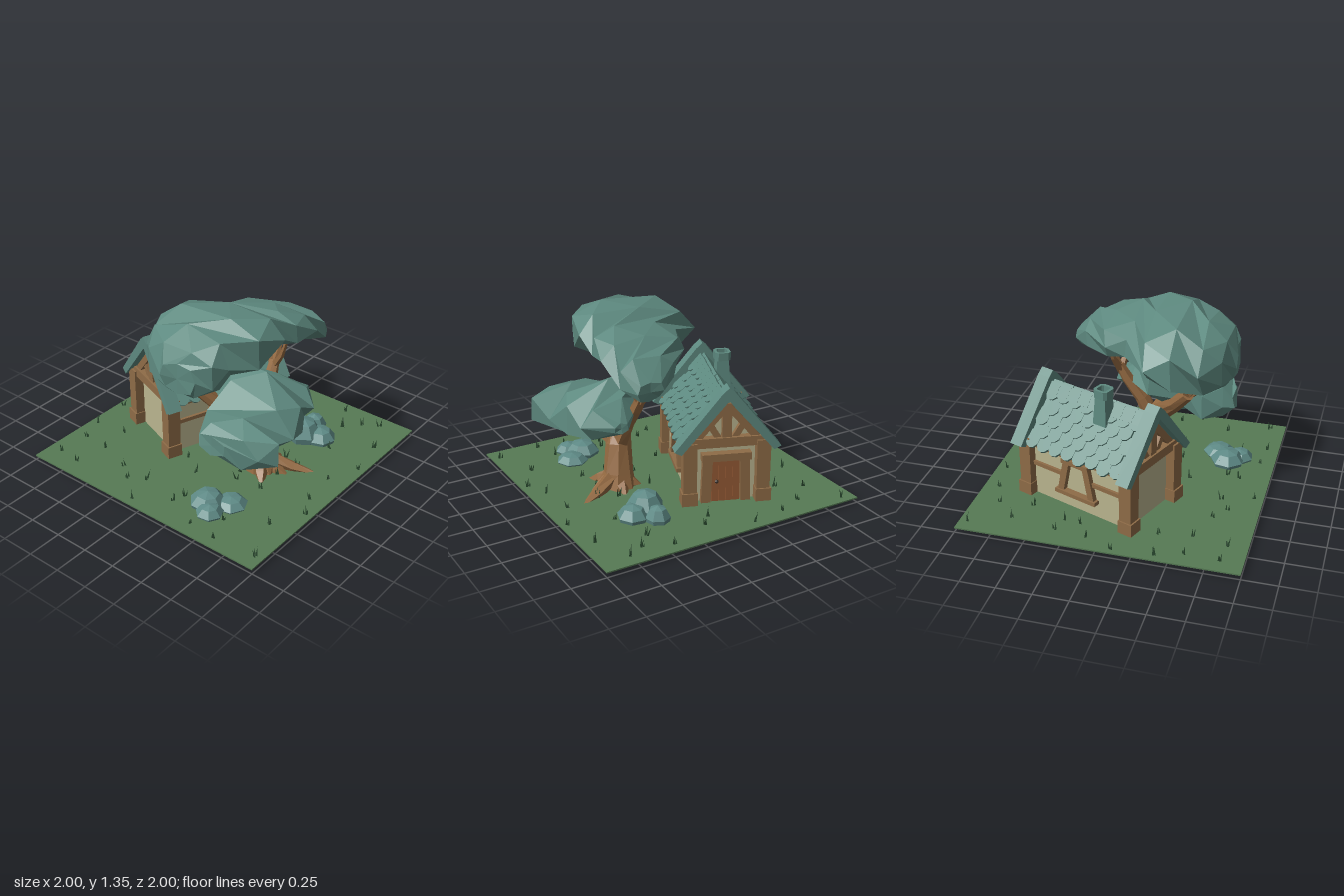
import * as THREE from 'three';
import { mergeGeometries } from 'three/addons/utils/BufferGeometryUtils.js';

const V = (x, y, z) => new THREE.Vector3(x, y, z);
const pairs = (list) => list.map((p) => new THREE.Vector2(...p));

export function createModel() {
  const model = new THREE.Group();
  model.name = 'cottageAndTree';
  const mat = (name, color) => {
    const m = new THREE.MeshStandardMaterial({ color, flatShading: true });
    m.name = name;
    return m;
  };
  const M = {
    grass: mat('meadowGreen', 0x567a54), blade: mat('darkGrass', 0x27452c),
    leaf: mat('foliageTeal', 0x5e8a80), roof: mat('roofTeal', 0x5e8a80),
    rock: mat('rockTeal', 0x5e8a86), wall: mat('plaster', 0xbab58f),
    wood: mat('timber', 0x8f6c47), bark: mat('bark', 0x946a42),
    door: mat('doorWood', 0x955a35), iron: mat('iron', 0x3c322c),
  };
  let seed = 11;
  const rnd = (a = 0, b = 1) => {
    seed = (seed * 16807) % 2147483647;
    return a + (b - a) * seed / 2147483647;
  };
  const add = (parent, name, geo, material, x = 0, y = 0, z = 0) => {
    const m = new THREE.Mesh(geo, material);
    m.name = name;
    m.position.set(x, y, z);
    parent.add(m);
    return m;
  };
  const box = (p, name, material, w, h, d, x, y, z) =>
    add(p, name, new THREE.BoxGeometry(w, h, d), material, x, y, z);
  // Square bar running from a to b
  const beam = (p, name, a, b, sx, sz) => {
    const dir = b.clone().sub(a), mid = a.clone().add(b).multiplyScalar(0.5);
    const m = box(p, name, M.wood, sx, dir.length(), sz, mid.x, mid.y, mid.z);
    m.quaternion.setFromUnitVectors(V(0, 1, 0), dir.normalize());
    return m;
  };
  // Closed skin over a row of rings
  const loft = (rings) => {
    const pos = [], n = rings[0].length;
    const tri = (...ps) => ps.forEach((p) => pos.push(p.x, p.y, p.z));
    const centre = (r) => r.reduce((s, p) => s.add(p), V(0, 0, 0)).divideScalar(n);
    const c0 = centre(rings[0]), last = rings[rings.length - 1], c1 = centre(last);
    for (let j = 0; j < n; j++) {
      const k = (j + 1) % n;
      for (let i = 0; i < rings.length - 1; i++) {
        const a = rings[i][j], b = rings[i][k], c = rings[i + 1][k], d = rings[i + 1][j];
        tri(a, b, c, a, c, d);
      }
      tri(c0, rings[0][k], rings[0][j]);
      tri(c1, last[j], last[k]);
    }
    const g = new THREE.BufferGeometry();
    g.setAttribute('position', new THREE.Float32BufferAttribute(pos, 3));
    g.computeVertexNormals();
    return g;
  };

  // Ground sheet
  box(model, 'ground', M.grass, 2, 0.01, 2, 0, 0.03, 0);

  // ---- House: ridge along local x, door on the +x gable ----
  const house = new THREE.Group();
  house.name = 'house';
  house.position.set(0.148, 0, -0.322);
  house.rotation.y = -0.36;
  model.add(house);
  // Extrude a (z, y) outline along x, centred
  const alongX = (pts, len) => {
    const g = new THREE.ExtrudeGeometry(new THREE.Shape(pairs(pts)), { depth: len, bevelEnabled: false });
    return g.translate(0, 0, -len / 2).rotateY(Math.PI / 2);
  };
  add(house, 'walls', alongX([[-0.25, 0.02], [0.25, 0.02], [0.25, 0.5], [0, 0.79], [-0.25, 0.5]], 0.84), M.wall);

  for (const sx of [-1, 1]) {
    for (const sz of [-1, 1]) {
      // Corner posts with wider feet
      const post = new THREE.CylinderGeometry(0.07, 0.066, 0.48, 4).rotateY(Math.PI / 4);
      add(house, 'cornerPost', post, M.wood, sx * 0.44, 0.26, sz * 0.26);
      box(house, 'postFoot', M.wood, 0.112, 0.11, 0.112, sx * 0.443, 0.075, sz * 0.262);
      // Gable framing
      beam(house, 'rafter', V(sx * 0.43, 0.44, sz * 0.28), V(sx * 0.43, 0.765, 0), 0.06, 0.05);
      beam(house, 'gableBrace', V(sx * 0.43, 0.5, sz * 0.045), V(sx * 0.43, 0.64, sz * 0.13), 0.045, 0.045);
      // Mid rails on the long walls, either side of the window
      beam(house, 'midRail', V(sx * 0.1, 0.29, sz * 0.255), V(sx * 0.42, 0.29, sz * 0.255), 0.03, 0.03);
      // Leaning window boards
      beam(house, 'windowBoard', V(sx * 0.135, 0.16, sz * 0.265), V(sx * 0.08, 0.42, sz * 0.265), 0.05, 0.045);
    }
    beam(house, 'gableTie', V(sx * 0.44, 0.495, -0.26), V(sx * 0.44, 0.495, 0.26), 0.07, 0.07);
    beam(house, 'kingPost', V(sx * 0.435, 0.5, 0), V(sx * 0.435, 0.78, 0), 0.055, 0.065);
    // Overhanging gable trim
    add(house, 'gableTrim', alongX([[-0.375, 0.46], [-0.325, 0.435], [0, 0.815], [0.325, 0.435],
      [0.375, 0.46], [0.045, 0.87], [0, 0.91], [-0.045, 0.87]], 0.1), M.roof, sx * 0.46);
  }
  for (const s of [-1, 1]) {
    box(house, 'wallPlate', M.wood, 0.86, 0.045, 0.05, 0, 0.455, s * 0.255);
    box(house, 'windowSill', M.wood, 0.35, 0.03, 0.06, 0, 0.16, s * 0.27);
    box(house, 'windowLintel', M.wood, 0.23, 0.035, 0.06, 0, 0.42, s * 0.27);
  }

  // Door with planks, frame and knob
  for (let i = 0; i < 4; i++)
    box(house, 'doorPlank', M.door, 0.04, 0.335 - (i % 3 ? 0 : 0.012), 0.048, 0.425, 0.195, (i - 1.5) * 0.05);
  for (const s of [-1, 1])
    beam(house, 'doorJamb', V(0.435, 0.03, s * 0.143), V(0.435, 0.375, s * 0.131), 0.055, 0.07);
  box(house, 'doorLintel', M.wood, 0.08, 0.055, 0.35, 0.44, 0.383, 0);
  add(house, 'doorKnob', new THREE.IcosahedronGeometry(0.015, 0), M.iron, 0.452, 0.19, 0.065);

  // Roof slopes with overlapping scalloped tiles
  const tileShape = new THREE.Shape(pairs([[-0.051, 0.06], [-0.051, -0.035], [-0.028, -0.064], [0, -0.072],
    [0.028, -0.064], [0.051, -0.035], [0.051, 0.06]]));
  const tileGeo = new THREE.ExtrudeGeometry(tileShape, { depth: 0.018, bevelEnabled: false });
  for (const side of [0, 1]) {
    const turn = new THREE.Group(), slope = new THREE.Group();
    turn.name = side ? 'backRoof' : 'frontRoof';
    turn.rotation.y = side * Math.PI;
    slope.position.y = 0.81;
    slope.rotation.x = -0.714;
    turn.add(slope);
    house.add(turn);
    box(slope, 'roofDeck', M.roof, 0.9, 0.46, 0.03, 0, -0.23, -0.011);
    for (let r = 0; r < 5; r++) {
      const count = 8 - r % 2;
      for (let c = 0; c < count; c++) {
        const t = add(slope, 'roofTile', tileGeo, M.roof,
          (c - (count - 1) / 2) * 0.104, -0.065 - r * 0.088 + rnd(-0.01, 0.01), 0.004);
        t.rotation.x = -0.13;
        t.rotation.z = rnd(-0.06, 0.06);
      }
    }
    for (let c = 0; c < 9; c++)
      box(slope, 'ridgeCap', M.roof, 0.092, 0.1, 0.026, (c - 4) * 0.093, -0.04 + rnd(-0.006, 0.006), 0.014);
  }

  // Chimney with hollow chamfered cap
  add(house, 'chimney', new THREE.CylinderGeometry(0.06, 0.08, 0.23, 4).rotateY(Math.PI / 4), M.roof, -0.1, 0.785, -0.08);
  const octagon = (r, c) => pairs([[-r, -c], [-c, -r], [c, -r], [r, -c], [r, c], [c, r], [-c, r], [-r, c]]);
  const cap = new THREE.Shape(octagon(0.057, 0.036));
  cap.holes.push(new THREE.Path(octagon(0.037, 0.026).reverse()));
  add(house, 'chimneyCap', new THREE.ExtrudeGeometry(cap, { depth: 0.06, bevelEnabled: false }).rotateX(-Math.PI / 2),
    M.roof, -0.1, 0.896, -0.08);

  // ---- Tree ----
  const tree = new THREE.Group();
  tree.name = 'tree';
  model.add(tree);
  // Limb through [x, y, z, radius] points
  const limb = (name, pts, sides = 6) => {
    const p = pts.map((q) => V(q[0], q[1], q[2]));
    const rings = p.map((c, i) => {
      const d = p[Math.min(i + 1, p.length - 1)].clone().sub(p[Math.max(i - 1, 0)]).normalize();
      const e1 = V(0.3, 0.1, 1).cross(d).normalize(), e2 = d.clone().cross(e1);
      return Array.from({ length: sides }, (_, j) => {
        const a = j / sides * Math.PI * 2, r = pts[i][3] * rnd(0.9, 1.08);
        return c.clone().addScaledVector(e1, r * Math.cos(a)).addScaledVector(e2, r * Math.sin(a));
      });
    });
    return add(tree, name, loft(rings), M.bark);
  };
  limb('trunk', [[-0.06, 0.01, 0.36, 0.15], [-0.065, 0.13, 0.35, 0.115], [-0.085, 0.33, 0.33, 0.09],
    [-0.15, 0.46, 0.28, 0.08], [-0.29, 0.6, 0.14, 0.058], [-0.4, 0.74, 0.04, 0.046]], 8);
  limb('rightBranch', [[-0.08, 0.33, 0.33, 0.065], [0.01, 0.52, 0.31, 0.055], [0.12, 0.67, 0.3, 0.045], [0.18, 0.78, 0.29, 0.035]]);
  limb('frontBranch', [[-0.09, 0.35, 0.34, 0.065], [-0.22, 0.43, 0.4, 0.055], [-0.35, 0.5, 0.48, 0.035]]);
  const a = [-0.39, 0.71, 0.05], b = [0.17, 0.74, 0.29];
  for (const [from, to] of [[a, [-0.62, 0.93, 0.12]], [a, [-0.5, 0.95, 0]], [a, [-0.36, 1, -0.04]],
    [a, [-0.22, 1.02, 0.08]], [b, [0.13, 0.99, 0.42]], [b, [0.25, 1, 0.3]], [b, [0.22, 1, 0.16]]]) {
    const mid = from.map((v, i) => v * 0.5 + to[i] * 0.5);
    limb('twig', [[...from, 0.032], [mid[0] + (to[0] - from[0]) * 0.15, mid[1], mid[2] + (to[2] - from[2]) * 0.15, 0.02],
      [...to, 0.013]], 5);
  }
  for (const [x, z] of [[0.11, 0.72], [-0.24, 0.5], [0.14, 0.4], [-0.2, 0.27], [-0.04, 0.58], [0.04, 0.22]])
    limb('root', [[-0.06, 0.13, 0.36, 0.06], [-0.06 + (x + 0.06) * 0.6, 0.05, 0.36 + (z - 0.36) * 0.6, 0.045], [x, 0.018, z, 0.014]], 5);

  // Leaf masses from [x, yLow, yHigh, zBack, zFront, lean along z] stations
  const canopy = (name, stations, n) => {
    const rings = stations.map(([x, y0, y1, z0, z1, lean], i) => Array.from({ length: n }, (_, j) => {
      const t = (j + (i % 2) * 0.5) / n * Math.PI * 2, k = rnd(0.95, 1.07);
      const soft = (v) => Math.sign(v) * Math.pow(Math.abs(v), 0.8) * k;
      const dz = soft(Math.sin(t)) * (z1 - z0) / 2;
      return V(x + rnd(-0.02, 0.02), (y0 + y1) / 2 + soft(Math.cos(t)) * (y1 - y0) / 2 + lean * dz, (z0 + z1) / 2 + dz);
    }));
    add(tree, name, loft(rings), M.leaf);
  };
  canopy('upperCanopy', [[-0.73, 0.89, 1.12, 0.02, 0.3, 0.08], [-0.66, 0.85, 1.22, -0.14, 0.4, 0.08],
    [-0.54, 0.84, 1.29, -0.29, 0.46, 0.08], [-0.34, 0.87, 1.33, -0.35, 0.55, 0.1], [-0.15, 0.95, 1.31, -0.33, 0.58, 0.12],
    [0.02, 0.99, 1.26, -0.1, 0.59, 0.08], [0.2, 0.96, 1.22, -0.06, 0.59, 0.06], [0.38, 0.9, 1.15, 0.14, 0.57, 0],
    [0.5, 0.88, 1.02, 0.3, 0.5, 0]], 8);
  canopy('lowerCanopy', [[-0.68, 0.49, 0.63, 0.3, 0.52, -0.05], [-0.61, 0.41, 0.67, 0.24, 0.72, -0.05],
    [-0.48, 0.41, 0.71, 0.16, 0.86, 0], [-0.27, 0.43, 0.77, 0.1, 0.78, -0.15], [-0.09, 0.5, 0.85, 0.06, 0.76, -0.25],
    [0.09, 0.5, 0.75, 0.3, 0.71, -0.15], [0.24, 0.57, 0.64, 0.42, 0.54, 0]], 6);

  // Open-based faceted rocks: x, z, radius, top height
  const rockProfile = pairs([[0.85, 0], [1, 0.4], [0.62, 0.85], [0, 1]]);
  for (const [x, z, r, h] of [[-0.73, 0.43, 0.1, 0.11], [-0.65, 0.35, 0.13, 0.14], [-0.56, 0.48, 0.12, 0.1],
    [0.58, 0.39, 0.09, 0.15], [0.47, 0.52, 0.115, 0.14], [0.42, 0.4, 0.135, 0.2]]) {
    const g = new THREE.LatheGeometry(rockProfile, 7).rotateY(rnd(0, 6)).scale(r, h - 0.01, r);
    add(model, 'rock', g, M.rock, x, 0.01, z);
  }

  // Grass tufts spread over a jittered grid outside the house
  const blades = [];
  for (let i = 0; i < 64; i++) {
    const x = (i % 8 - 3.5) * 0.25 + rnd(-0.1, 0.1), z = (Math.floor(i / 8) - 3.5) * 0.25 + rnd(-0.1, 0.1);
    const dx = x - 0.148, dz = z + 0.322;
    if (Math.abs(0.936 * dx + 0.352 * dz) < 0.54 && Math.abs(-0.352 * dx + 0.936 * dz) < 0.36) continue;
    for (let k = 0; k < 3; k++) {
      const h = rnd(0.03, 0.085);
      blades.push(new THREE.ConeGeometry(0.009, h, 3).translate(0, h / 2, 0).rotateZ(rnd(-0.25, 0.25))
        .rotateX(rnd(-0.25, 0.25)).translate(x + rnd(-0.012, 0.012), 0.03, z + rnd(-0.012, 0.012)));
    }
  }
  add(model, 'grassTufts', mergeGeometries(blades), M.blade);
  return model;
}
